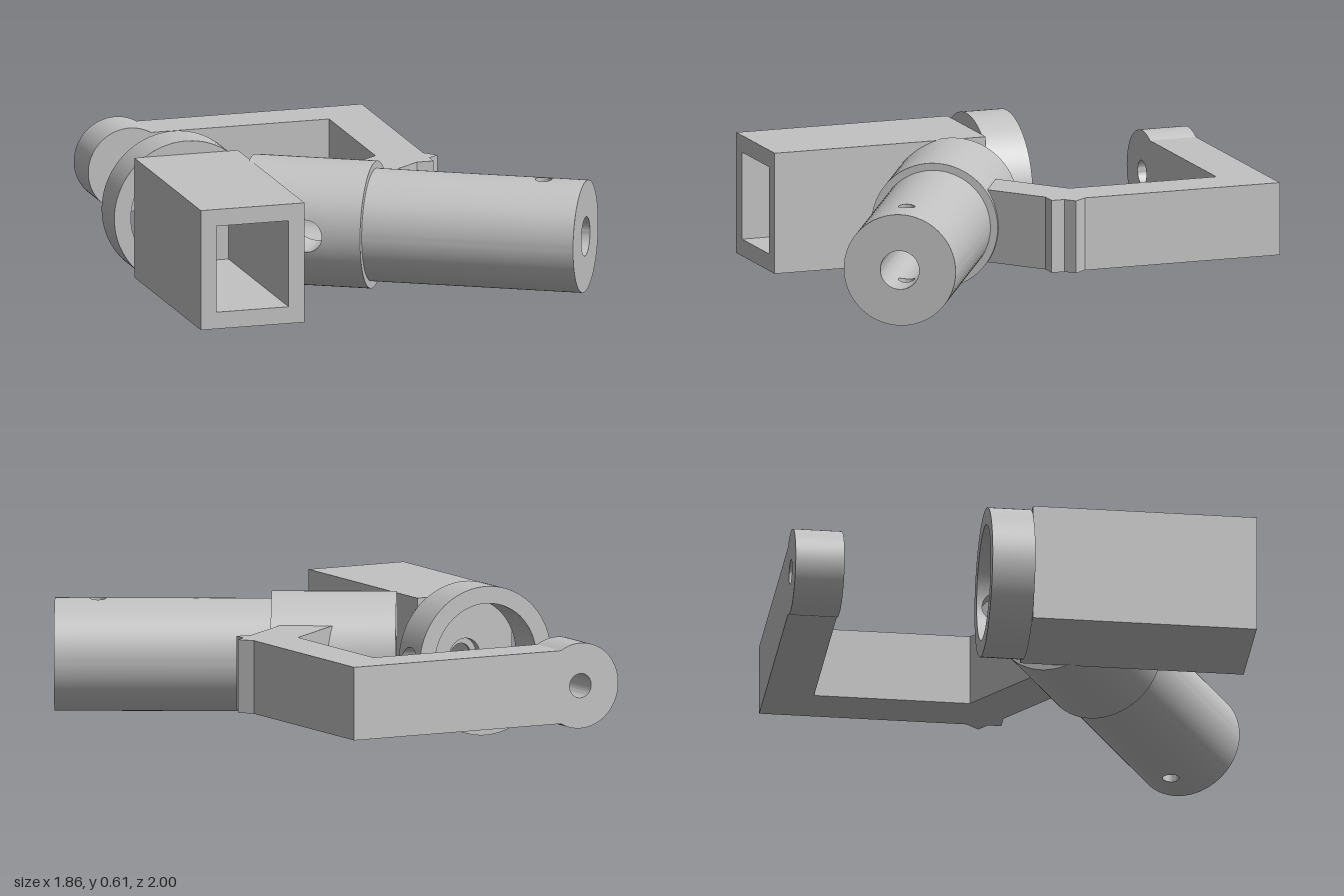
import * as THREE from 'three';
import { mergeGeometries, toCreasedNormals } from 'three/addons/utils/BufferGeometryUtils.js';

const grey = new THREE.MeshStandardMaterial({ color: 0xc2c2c2 });
grey.name = 'lightGrey';
const CY = 0.307; // height of every part's centre line

function part(name, geometry, parent) {
  const mesh = new THREE.Mesh(geometry, grey);
  mesh.name = name;
  parent.add(mesh);
  return mesh;
}

// Quad grid over u, w in 0..1
function grid(nu, nw, fn, flip) {
  const pos = [], idx = [];
  for (let j = 0; j <= nw; j++) for (let i = 0; i <= nu; i++) pos.push(...fn(i / nu, j / nw));
  for (let j = 0; j < nw; j++) for (let i = 0; i < nu; i++) {
    const a = j * (nu + 1) + i, b = a + 1, c = b + nu + 1, d = c - 1;
    if (flip) idx.push(a, c, b, a, d, c);
    else idx.push(a, b, c, a, c, d);
  }
  const g = new THREE.BufferGeometry();
  g.setAttribute('position', new THREE.Float32BufferAttribute(pos, 3));
  g.setIndex(idx);
  return g;
}

// Hollow cylinder along +y with round cross holes of radius hr at height v0
function drilledTube(R, r, len, v0, hr, angles, adjust) {
  const T = Math.PI * 2, pieces = [], hv = hr * 1.3;
  const at = (rad, a, v) => [rad * Math.cos(a), v, rad * Math.sin(a)];
  const rim = (rad, a0, th) => [a0 + Math.asin(hr * Math.cos(th) / rad), v0 + hr * Math.sin(th)];
  // spacing along the edge of the square patch around a hole, shared with its neighbours
  const steps = Array.from({ length: 13 }, (_, k) => Math.tan((k - 6) * Math.PI / 24));
  const heights = [0, ...steps.map((t) => v0 + hv * t), len];
  for (const [rad, outer] of [[R, true], [r, false]]) {
    const ha = Math.min(1.3, 1.3 * Math.asin(hr / rad));
    angles.forEach((a0, i) => {
      // plain wall up to the next hole
      const from = a0 + ha, to = (i + 1 < angles.length ? angles[i + 1] : angles[0] + T) - ha;
      pieces.push(grid(Math.ceil((to - from) * 14), 14,
        (u, w) => at(rad, from + (to - from) * u, heights[Math.round(w * 14)]), outer));
      // wall below and above the hole
      for (const [lo, hi] of [[0, v0 - hv], [v0 + hv, len]]) pieces.push(grid(12, 1,
        (u, w) => at(rad, a0 + ha * steps[Math.round(u * 12)], w ? hi : lo), outer));
      // surface blending from the round rim to the square patch
      pieces.push(grid(48, 5, (u, w) => {
        const th = u * T, c = Math.cos(th), s = Math.sin(th);
        const m = Math.max(Math.abs(c), Math.abs(s)), [a, v] = rim(rad, a0, th);
        return at(rad, a + (a0 + ha * c / m - a) * w, v + (v0 + hv * s / m - v) * w);
      }, !outer));
    });
  }
  // hole walls
  for (const a0 of angles) pieces.push(grid(48, 1, (u, w) => {
    const p = at(r, ...rim(r, a0, u * T)), q = at(R, ...rim(R, a0, u * T));
    return p.map((n, k) => n + (q[k] - n) * w);
  }, false));
  // end rings
  for (const v of [0, len]) pieces.push(grid(90, 1, (u, w) => at(r + (R - r) * w, u * T, v), v === 0));
  const g = mergeGeometries(pieces);
  if (adjust) adjust(g.attributes.position);
  return toCreasedNormals(g, 0.5);
}

function extrude(shape, z0, z1) {
  const g = new THREE.ExtrudeGeometry(shape, { depth: z1 - z0, bevelEnabled: false, curveSegments: 32 });
  return toCreasedNormals(g.translate(0, 0, z0), 0.5);
}

function rect(Type, w, h) {
  return new Type([[-w, -h], [w, -h], [w, h], [-w, h]].map(([x, y]) => new THREE.Vector2(x / 2, y / 2)));
}

function circleHole(x, r) {
  return new THREE.Path().absarc(x, 0, r, 0, Math.PI * 2, true);
}

export function createModel() {
  const model = new THREE.Group();
  model.name = 'jointedBracket';

  // Square tube with a stepped hole in its end wall
  const tube = new THREE.Group();
  tube.name = 'squareTube';
  tube.position.set(-0.625, CY, 0);
  model.add(tube);
  const frame = rect(THREE.Shape, 0.44, 0.5);
  frame.holes.push(rect(THREE.Path, 0.306, 0.36));
  part('tubeWalls', extrude(frame, 0.05, 0.88), tube);
  for (const [z0, z1, r] of [[-0.035, 0, 0.07], [0, 0.015, 0.045], [0.015, 0.05, 0.07]]) {
    const plate = rect(THREE.Shape, 0.44, 0.5);
    plate.holes.push(circleHole(0, r));
    part('tubeEndWall', extrude(plate, z0, z1), tube);
  }

  // Round collar behind the tube, drilled on one side
  const collar = part('collar', drilledTube(0.305, 0.235, 0.175, 0.0875, 0.065, [0]), model);
  collar.rotation.x = Math.PI / 2;
  collar.position.set(-0.625, CY, -0.21);

  // Slanted shaft: local y runs backwards along its axis, local x points up
  const shaft = new THREE.Group();
  shaft.name = 'slantedShaft';
  const S = Math.sqrt(3) / 2, shaftX = 0.814;
  shaft.quaternion.setFromRotationMatrix(new THREE.Matrix4().makeBasis(
    new THREE.Vector3(0, 1, 0), new THREE.Vector3(-S, 0, -0.5), new THREE.Vector3(-0.5, 0, S)));
  shaft.position.set(shaftX, CY, 0.8);
  model.add(shaft);
  part('shaftPipe', drilledTube(0.23, 0.08, 0.88, 0.175, 0.034, [0, Math.PI]), shaft);
  // the sleeve is cut off flat where it meets the square tube
  const trim = (p) => {
    for (let i = 0; i < p.count; i++) {
      const x = shaftX - S * (p.getY(i) + 0.88) - 0.5 * p.getZ(i);
      if (x < -0.42) p.setY(i, p.getY(i) - (-0.42 - x) / S);
    }
  };
  part('shaftSleeve', drilledTube(0.26, 0.08, 0.508, 0.227, 0.067, [Math.PI / 2], trim), shaft).position.y = 0.88;

  // Bent arm: rear bar with a round drilled end, side bar and diagonal strut
  const arm = new THREE.Group();
  arm.name = 'bentArm';
  arm.position.y = CY;
  model.add(arm);
  const bar = new THREE.Shape(), a = Math.asin(0.15 / 0.175);
  bar.moveTo(0.418, -0.15);
  bar.lineTo(0.418, 0.15);
  bar.absarc(-0.63, 0, 0.175, a, Math.PI * 2 - a, false);
  bar.closePath();
  bar.holes.push(circleHole(-0.63, 0.05));
  part('rearBar', extrude(bar, -1, -0.8), arm);
  part('sideBar', new THREE.BoxGeometry(0.2, 0.3, 0.79), arm).position.set(0.318, 0, -0.405);
  const strut = part('diagonalStrut', new THREE.BoxGeometry(0.53, 0.3, 0.2).translate(0.16, 0, 0.104), arm);
  strut.rotation.y = 0.658;

  return model;
}
